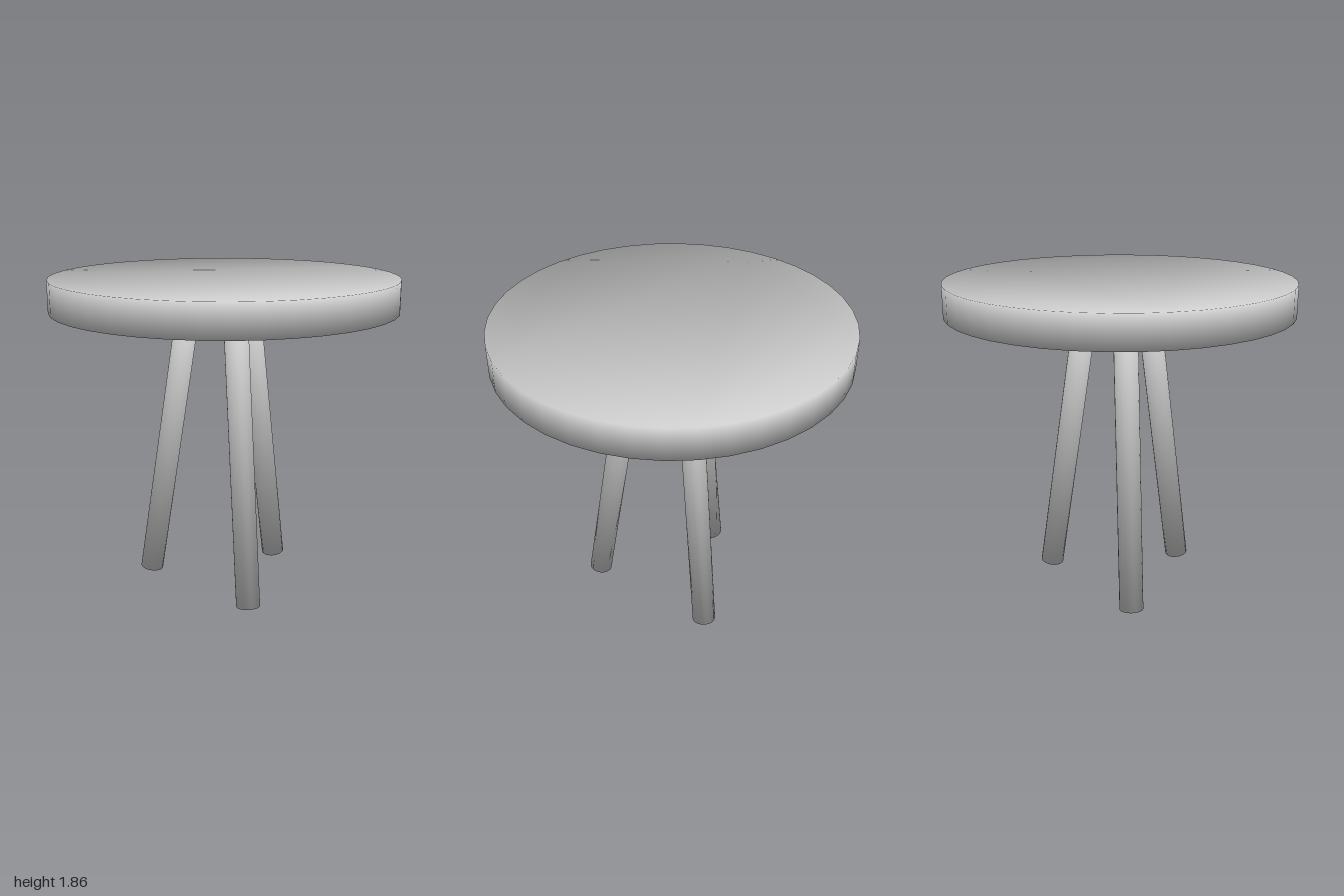
import * as THREE from 'three';

// Upright cylinder centred on its origin, with normals smoothed over the rims
function softCylinder(radius, height, sides) {
  const points = [];
  for (let i = 0; i < sides; i++) {
    const a = (i / sides) * Math.PI * 2;
    points.push(new THREE.Vector2(Math.cos(a) * radius, Math.sin(a) * radius));
  }
  const geo = new THREE.ExtrudeGeometry(new THREE.Shape(points), { depth: height, bevelEnabled: false });
  geo.translate(0, 0, -height / 2).rotateX(-Math.PI / 2);
  const pos = geo.attributes.position;
  const n = new THREE.Vector3();
  for (let i = 0; i < pos.count; i++) {
    n.set(pos.getX(i) / radius, Math.sign(pos.getY(i)), pos.getZ(i) / radius).normalize();
    geo.attributes.normal.setXYZ(i, n.x, n.y, n.z);
  }
  return geo;
}

export function createModel() {
  const group = new THREE.Group();
  const grey = new THREE.MeshStandardMaterial({ color: 0xcccccc });
  grey.name = 'light grey';

  // Round seat
  const seat = new THREE.Mesh(softCylinder(1, 0.185, 40), grey);
  seat.name = 'seat';
  seat.position.y = 1.772;
  group.add(seat);

  // Three splayed legs, square cut at both ends
  const up = new THREE.Vector3(0, 1, 0);
  const foot = new THREE.Vector3(0.472, 0.013, 0);
  const head = new THREE.Vector3(0.213, 1.677, 0);
  const legGeo = softCylinder(0.07, foot.distanceTo(head), 20);
  for (let i = 0; i < 3; i++) {
    const turn = (i * Math.PI * 2) / 3;
    const a = foot.clone().applyAxisAngle(up, turn);
    const b = head.clone().applyAxisAngle(up, turn);
    const leg = new THREE.Mesh(legGeo, grey);
    leg.name = `leg${i + 1}`;
    leg.position.copy(a).add(b).multiplyScalar(0.5);
    leg.quaternion.setFromUnitVectors(up, b.sub(a).normalize());
    group.add(leg);
  }
  return group;
}
